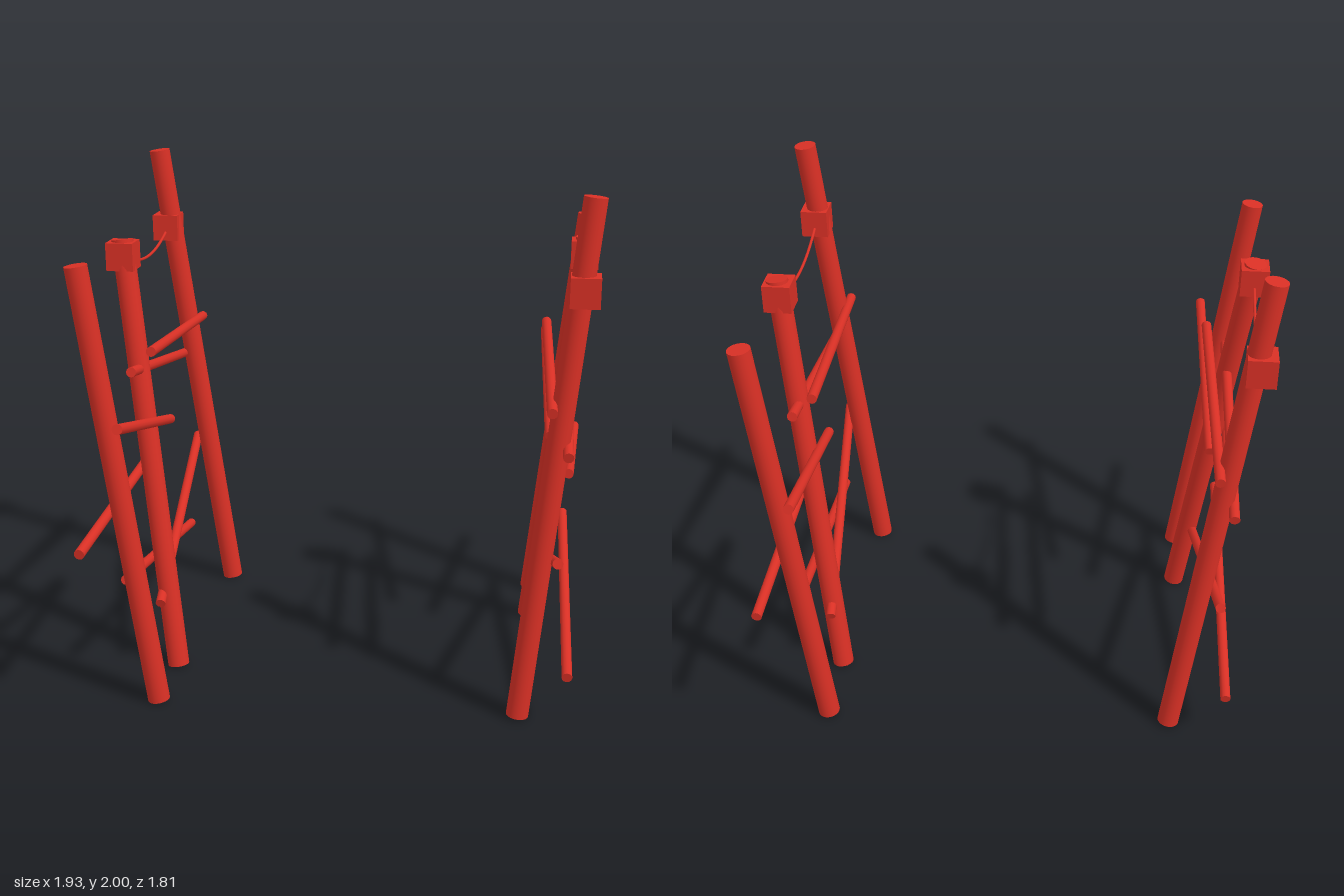
import * as THREE from 'three';

const red = new THREE.MeshStandardMaterial({ color: 0xd93025 });
red.name = 'red paint';

// Round pole between two points
function pole(name, a, b, radius, sides) {
  const from = new THREE.Vector3(...a), to = new THREE.Vector3(...b);
  const dir = to.clone().sub(from);
  const mesh = new THREE.Mesh(new THREE.CylinderGeometry(radius, radius, dir.length(), sides), red);
  mesh.position.copy(from).add(to).multiplyScalar(0.5);
  mesh.quaternion.setFromUnitVectors(new THREE.Vector3(0, 1, 0), dir.normalize());
  mesh.name = name;
  return mesh;
}

// One row of leaning posts; s = 1 for the left side, -1 for the right side turned half round
function buildSide(s, feetX, topsX, shift) {
  const side = new THREE.Group();
  side.name = s > 0 ? 'leftSide' : 'rightSide';

  // Posts: foot z, top z, top height
  const posts = [
    ['shortPost', -0.65, -0.69, 1.735],
    ['middlePost', -0.35, -0.15, 1.73],
    ['tallPost', 0.575, 0.51, 1.995],
  ];
  posts.forEach(([name, footZ, topZ, h], i) => {
    side.add(pole(name, [s * feetX[i], 0.005, s * footZ], [s * topsX[i], h, s * topZ], 0.043, 20));
  });

  // Cross rails: both ends as x, y, z
  const rails = [
    [[0.757, 1.335, -0.36], [0.802, 1.24, 0.635]],
    [[0.84, 1.25, -0.36], [0.866, 1.075, 0.63]],
    [[0.747, 1.18, -0.855], [0.792, 0.95, 0]],
    [[0.898, 0.71, -0.905], [0.874, 0.805, 0.035]],
    [[0.845, 0.67, 0.645], [0.75, 0.295, -0.4]],
    [[0.858, 0.435, -0.5], [0.897, 0.22, 0.66]],
  ];
  for (const ends of rails) {
    const [a, b] = ends.map(([x, y, z]) => [s * (x - shift), y, s * z]);
    side.add(pole('crossRail', a, b, 0.02, 12));
  }

  // Blocks near the post tops
  const blockX = s * 0.899;
  for (const [y, z] of [[1.668, -0.15], [1.664, 0.522]]) {
    const block = new THREE.Mesh(new THREE.BoxGeometry(0.108, 0.11, 0.108), red);
    block.position.set(blockX, y, s * z);
    block.name = 'block';
    side.add(block);
  }

  // Sagging rope between the blocks
  const curve = new THREE.QuadraticBezierCurve3(
    new THREE.Vector3(blockX, 1.668, s * -0.15),
    new THREE.Vector3(blockX, 1.525, s * 0.186),
    new THREE.Vector3(blockX, 1.664, s * 0.522));
  const rope = new THREE.Mesh(new THREE.TubeGeometry(curve, 24, 0.006, 8), red);
  rope.name = 'rope';
  side.add(rope);
  return side;
}

export function createModel() {
  const model = new THREE.Group();
  model.name = 'leaningPostPath';
  model.add(buildSide(1, [0.725, 0.725, 0.715], [0.912, 0.905, 0.92], 0));
  model.add(buildSide(-1, [0.682, 0.682, 0.665], [0.908, 0.9, 0.922], 0.016));
  return model;
}
